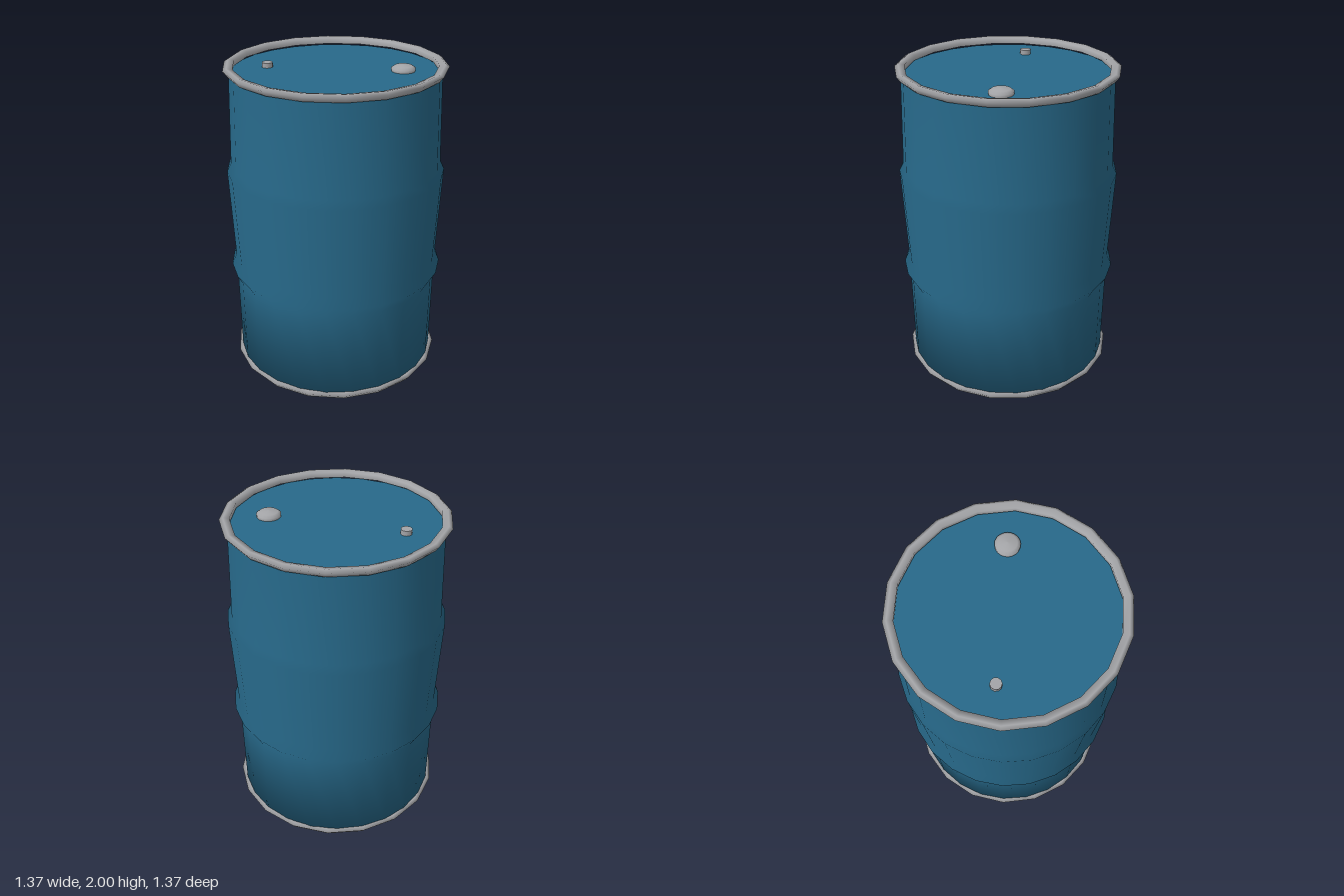
import * as THREE from 'three';

const profile = (pairs) => pairs.map(([r, y]) => new THREE.Vector2(r, y));

export function createModel() {
  const paint = new THREE.MeshStandardMaterial({ color: 0x27698a });
  paint.name = 'blue paint';
  const steel = new THREE.MeshStandardMaterial({ color: 0xa4a5a8 });
  steel.name = 'bare steel';

  const drum = new THREE.Group();
  drum.name = 'drum';
  const add = (name, geometry, material, x = 0, y = 0, z = 0) => {
    const mesh = new THREE.Mesh(geometry, material);
    mesh.name = name;
    mesh.position.set(x, y, z);
    drum.add(mesh);
    return mesh;
  };

  // Base and wall with two rolling hoops, smooth all the way round
  add('wall', new THREE.LatheGeometry(profile([
    [0, 0.02], [0.65, 0.02], [0.655, 0.62], [0.687, 0.68], [0.657, 0.75],
    [0.683, 1.335], [0.657, 1.385], [0.64, 1.955],
  ]), 24), paint);

  // Lid, sunk a little below the top rim
  const lid = add('lid', new THREE.CircleGeometry(0.64, 24), paint, 0, 1.945, 0);
  lid.rotation.x = -Math.PI / 2;

  // Rolled rims, flaring outwards towards their upper edge
  const rimSection = profile([
    [0.622, 0.004], [0.652, 0], [0.678, 0.034], [0.655, 0.048], [0.618, 0.04], [0.622, 0.004],
  ]);
  for (const [name, y] of [['bottomRim', 0], ['topRim', 1.952]]) {
    add(name, new THREE.LatheGeometry(rimSection, 18), steel, 0, y, 0);
  }

  // Large domed bung and small vent cap
  add('bung', new THREE.LatheGeometry(profile([
    [0.072, 0], [0.074, 0.018], [0.055, 0.032], [0, 0.038],
  ]), 20), steel, 0.335, 1.945, -0.23);
  add('ventCap', new THREE.CylinderGeometry(0.034, 0.034, 0.03, 10), steel, -0.385, 1.96, 0.175);

  return drum;
}
